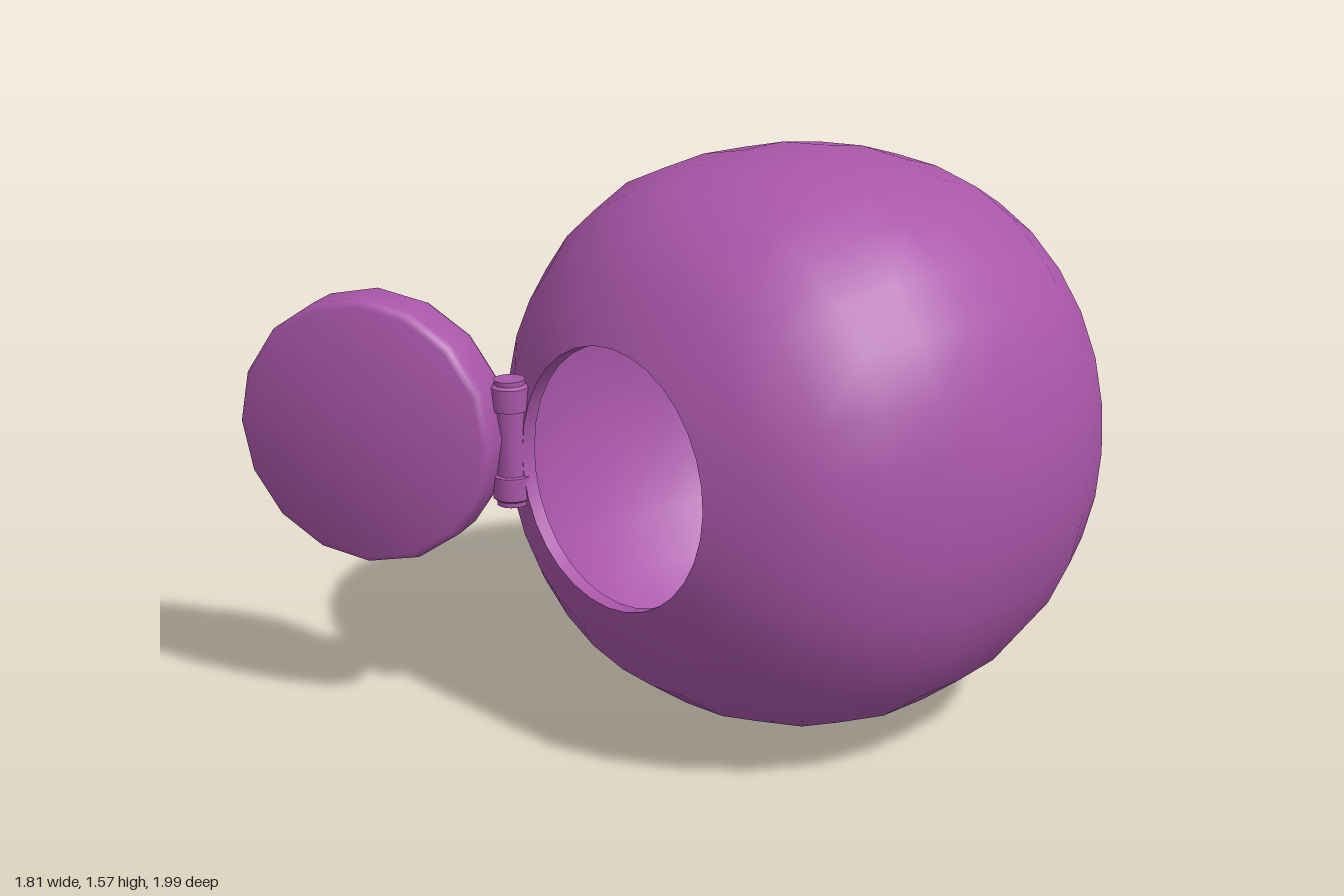
import * as THREE from 'three';
import { toCreasedNormals } from 'three/addons/utils/BufferGeometryUtils.js';

const material = new THREE.MeshStandardMaterial({ color: 0xa956a9, side: THREE.DoubleSide });

// Turned geometry from [radius, height] pairs
function turn(profile, segments) {
  return new THREE.LatheGeometry(profile.map(([r, h]) => new THREE.Vector2(r, h)), segments);
}

// Named mesh with smooth bevels and sharp rims
function part(name, geometry) {
  const mesh = new THREE.Mesh(toCreasedNormals(geometry, 0.9), material);
  mesh.name = name;
  return mesh;
}

// Arc of a sphere from polar angle a to b, measured from the bottom pole
function arc(radius, a, b, steps) {
  return Array.from({ length: steps + 1 }, (_, i) => {
    const t = a + (b - a) * i / steps;
    return [Math.max(0, radius * Math.sin(t)), -radius * Math.cos(t)];
  });
}

// Push a ball slightly towards a rounded cube, fuller around the front
function squareOff(geometry) {
  const position = geometry.attributes.position;
  const v = new THREE.Vector3(), d = new THREE.Vector3();
  for (let i = 0; i < position.count; i++) {
    v.fromBufferAttribute(position, i);
    d.copy(v).normalize();
    const g = 1.5 * (1 - d.x ** 4 - d.y ** 4 - d.z ** 4);
    const amount = 0.036 + 0.14 * Math.max(0, d.z) * (1 - d.z);
    v.multiplyScalar(1 + amount * g * g * (3 - 2 * g));
    position.setXYZ(i, v.x, v.y, v.z);
  }
}

export function createModel() {
  const model = new THREE.Group();
  model.name = 'hollowBallWithHatch';

  // Hollow ball, its round opening facing forward with a slight tilt
  const R = 0.788, inner = 0.75, hole = 0.342;
  const outerEnd = Math.PI - Math.asin(hole / R);
  const innerEnd = Math.PI - Math.asin((hole - 0.003) / inner);
  const ball = turn([...arc(R, 0, outerEnd, 14), ...arc(inner, innerEnd, 0, 14)], 32);
  ball.rotateX(Math.PI / 2);
  squareOff(ball);
  const shell = part('ballShell', ball);
  shell.rotation.set(-0.035, 0.03, 0);
  shell.position.set(0.12, R, -0.21);
  model.add(shell);

  // Open hatch: bevelled disc with a round plug on its inner face
  const hatch = new THREE.Group();
  hatch.name = 'hatch';
  const disc = turn([
    [0, -0.075], [0.35, -0.075], [0.365, -0.07], [0.371, -0.055],
    [0.371, 0.05], [0.365, 0.07], [0.35, 0.078], [0, 0.078],
  ], 16);
  const plug = turn([
    [0, -0.15], [0.153, -0.15], [0.163, -0.146], [0.167, -0.136], [0.167, -0.07],
  ], 24);
  for (const [name, geometry] of [['hatchDisc', disc], ['hatchPlug', plug]]) {
    geometry.rotateX(Math.PI / 2);
    hatch.add(part(name, geometry));
  }
  hatch.position.set(-0.556, 0.843, 0.756);
  hatch.rotation.y = 0.513;
  model.add(hatch);

  // Hinge: slim barrel with a thicker knuckle and cap at each end
  const half = [[0.038, 0], [0.041, 0.09], [0.052, 0.092], [0.052, 0.155], [0.042, 0.162], [0.042, 0.175], [0, 0.175]];
  const lower = half.map(([r, h]) => [r, -h]).reverse();
  const hinge = part('hinge', turn([...lower, ...half.slice(1)], 16));
  hinge.position.set(-0.243, 0.827, 0.535);
  model.add(hinge);

  return model;
}
